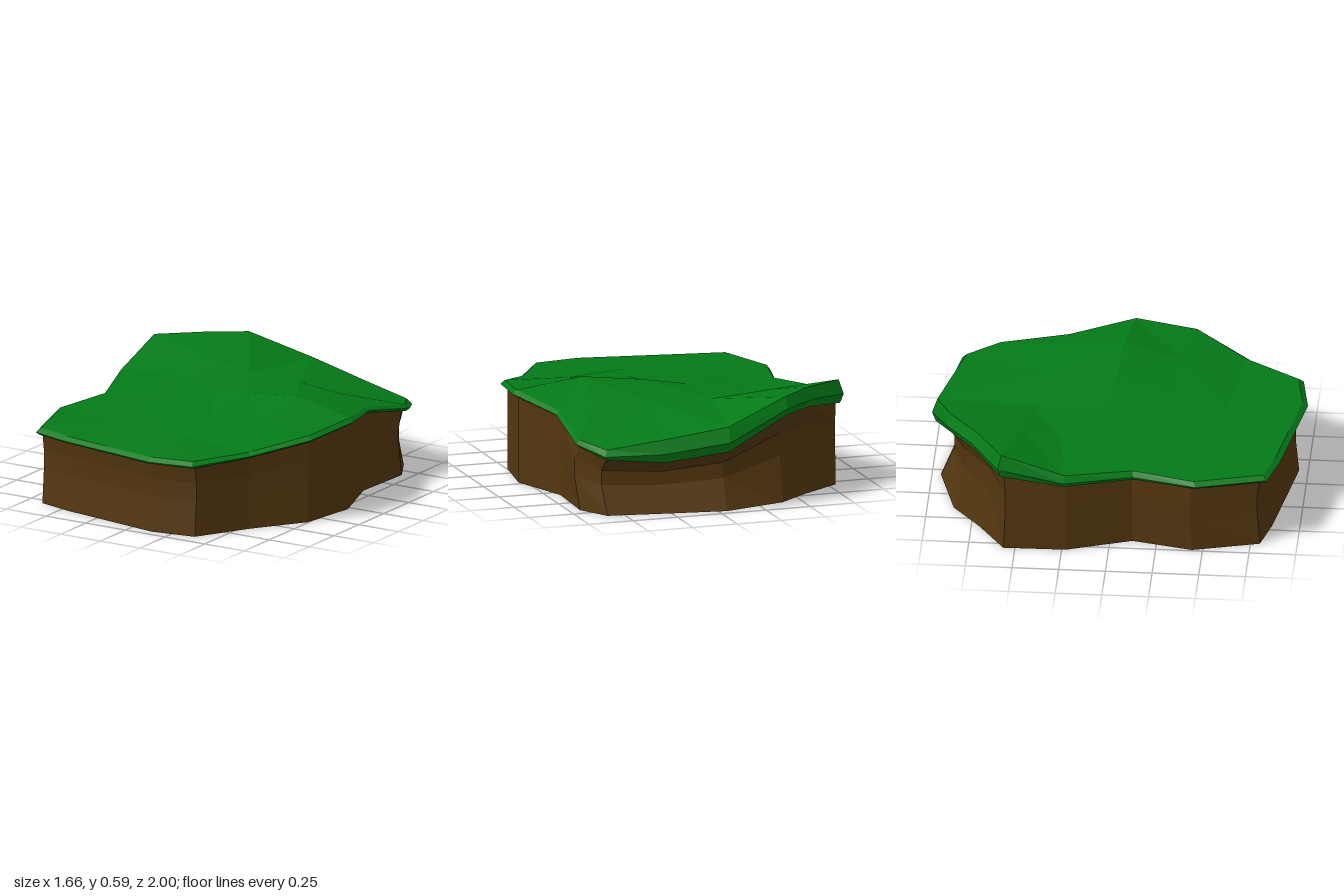
import * as THREE from 'three';

// Outline, clockwise from the back: x, z, rim underside height, rim top height
const OUTLINE = [
  [-0.05, -1.0, 0.33, 0.465], [0.3, -0.945, 0.285, 0.41], [0.62, -0.89, 0.31, 0.365],
  [0.72, -0.71, 0.355, 0.39], [0.705, -0.33, 0.435, 0.465], [0.828, 0.03, 0.475, 0.51],
  [0.778, 0.37, 0.45, 0.485], [0.57, 0.66, 0.4, 0.43], [0.392, 0.957, 0.385, 0.422],
  [0.14, 0.998, 0.385, 0.42], [-0.17, 0.945, 0.385, 0.42], [-0.46, 0.895, 0.385, 0.42],
  [-0.665, 0.84, 0.385, 0.425], [-0.775, 0.465, 0.39, 0.43], [-0.7, 0.125, 0.39, 0.44],
  [-0.825, -0.24, 0.4, 0.465], [-0.83, -0.59, 0.45, 0.578], [-0.6, -0.745, 0.48, 0.588],
  [-0.41, -0.9, 0.48, 0.582],
];

// Hills and hollows of the ground: x, y, z
const GROUND = [
  [0.45, 0.565, -0.01], [0.13, 0.53, -0.03], [-0.13, 0.49, -0.05], [-0.45, 0.464, -0.1],
  [-0.13, 0.497, -0.45], [0.2, 0.505, -0.42], [0.5, 0.505, -0.35], [-0.45, 0.535, -0.5],
  [-0.45, 0.475, -0.28], [-0.38, 0.455, 0.22], [0.1, 0.475, 0.28], [0.42, 0.488, 0.3],
  [0, 0.442, 0.57], [-0.36, 0.436, 0.55],
];

// Outline scaled about the centre, by scales for x and z, with heights by rule
const ring = (scale, height) => OUTLINE.map(([x, z, low, top]) => {
  const [sx, sz] = scale(x, z);
  return [x * sx, height(low, top), z * sz];
});
const even = (s) => () => [s, s];

// Joins closed rings from the bottom up, returning triangles
function skin(rings) {
  const tris = [];
  rings.slice(1).forEach((b, r) => b.forEach((_, i) => {
    const a = rings[r], j = (i + 1) % b.length;
    tris.push([a[i], b[i], b[j]], [a[i], b[j], a[j]]);
  }));
  return tris;
}

// Is a plan position inside a ring?
function inside(x, z, loop) {
  let result = false;
  loop.forEach(([ax, , az], i) => {
    const [bx, , bz] = loop[(i + 1) % loop.length];
    if ((az > z) !== (bz > z) && x < ax + ((z - az) / (bz - az)) * (bx - ax)) result = !result;
  });
  return result;
}

// Joins scattered points within a ring: keeps triangles whose circumcircle is empty
function sheet(loop, inner) {
  const pts = [...loop, ...inner], tris = [];
  for (let i = 0; i < pts.length; i++) {
    for (let j = i + 1; j < pts.length; j++) {
      for (let k = j + 1; k < pts.length; k++) {
        const [a, b, c] = [pts[i], pts[j], pts[k]];
        const bx = b[0] - a[0], bz = b[2] - a[2], cx = c[0] - a[0], cz = c[2] - a[2];
        const d = 2 * (bx * cz - bz * cx);
        if (Math.abs(d) < 1e-6) continue;
        const bb = bx * bx + bz * bz, cc = cx * cx + cz * cz;
        const ux = (cz * bb - bz * cc) / d, uz = (bx * cc - cx * bb) / d;
        const r2 = ux * ux + uz * uz - 1e-9;
        const empty = pts.every((p) => (p[0] - a[0] - ux) ** 2 + (p[2] - a[2] - uz) ** 2 > r2);
        if (empty && inside(a[0] + (bx + cx) / 3, a[2] + (bz + cz) / 3, loop)) {
          tris.push(d > 0 ? [a, c, b] : [a, b, c]);
        }
      }
    }
  }
  return tris;
}

function part(name, tris, color) {
  const geo = new THREE.BufferGeometry();
  geo.setAttribute('position', new THREE.Float32BufferAttribute(tris.flat(2), 3));
  geo.computeVertexNormals();
  const material = new THREE.MeshStandardMaterial({ color, flatShading: true, side: THREE.DoubleSide });
  const mesh = new THREE.Mesh(geo, material);
  mesh.name = name;
  return mesh;
}

export function createModel() {
  const group = new THREE.Group();
  group.name = 'grassyCliff';

  // Earth wall, open below, slightly hollow and undercut along the back
  const foot = (x, z) => [z > 0.8 ? 0.975 : 0.957, 0.953];
  const hollow = (x, z) => {
    if (z < -0.5 && x > -0.7) return [0.975, 0.88];
    return [foot(x, z)[0], 0.935];
  };
  group.add(part('earthWall', skin([
    ring(foot, () => 0),
    ring(hollow, (low) => low * 0.5),
    ring(hollow, (low) => low * 0.76),
    ring(foot, (low) => low + 0.012),
  ]), 0x53360f));

  // Grass sheet with a folded rim hanging over the wall
  const rim = ring(even(0.972), (low, top) => top);
  group.add(part('grassTop', [
    ...skin([
      ring(even(0.98), (low) => low),
      ring(even(1), (low, top) => low + (top - low) * 0.4),
      rim,
    ]),
    ...sheet(rim, GROUND),
  ], 0x047a18));

  return group;
}
